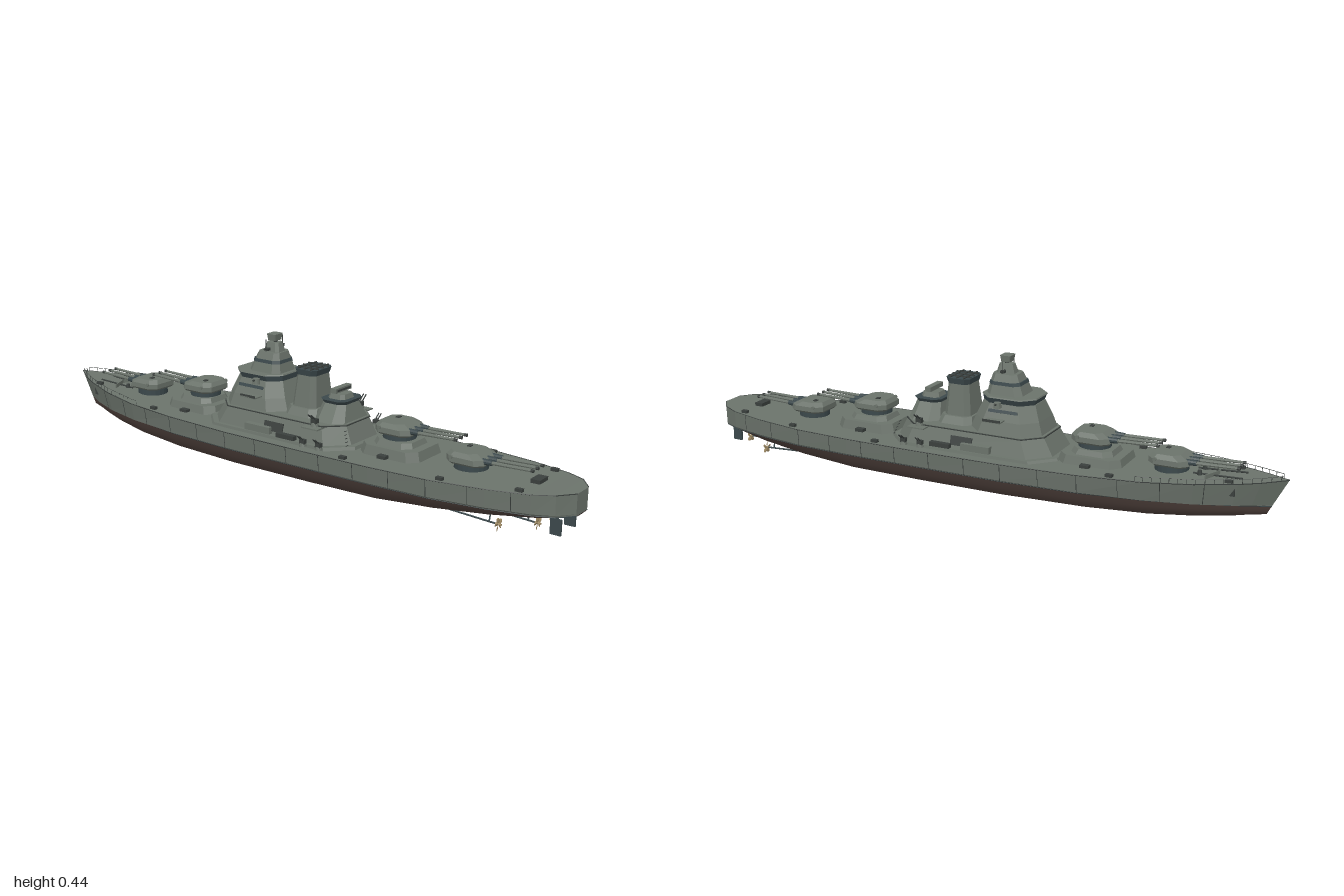
import * as THREE from 'three';

const mat = (name, color, flat = true) => {
  const m = new THREE.MeshStandardMaterial({ color, flatShading: flat, side: THREE.DoubleSide });
  m.name = name;
  return m;
};

export function createModel() {
  const ship = new THREE.Group();
  ship.name = 'battleship';
  const grey = mat('hull grey', 0x6b736b);
  const slate = mat('dark slate', 0x3b484b);
  const dark = mat('gunmetal', 0x3a3f3d);
  const red = mat('bottom paint brown', 0x4e403b, false);
  const bronze = mat('propeller bronze', 0xa08c66);

  const add = (geo, m, name, parent = ship, x = 0, y = 0, z = 0) => {
    const o = new THREE.Mesh(geo, m);
    o.name = name;
    o.position.set(x, y, z);
    parent.add(o);
    return o;
  };
  const box = (name, m, w, h, d, x, y, z, parent) => add(new THREE.BoxGeometry(w, h, d), m, name, parent, x, y, z);
  const rod = (name, m, a, b, r, parent = ship, r2 = r, sides = 6) => {
    const p = new THREE.Vector3(...a), q = new THREE.Vector3(...b);
    const o = add(new THREE.CylinderGeometry(r2, r, p.distanceTo(q), sides), m, name, parent);
    o.position.copy(p).lerp(q, 0.5);
    o.quaternion.setFromUnitVectors(new THREE.Vector3(0, 1, 0), q.sub(p).normalize());
    return o;
  };
  // Skin over stacked closed rings of points
  const loft = (rings, capped) => {
    const n = rings[0].length, idx = [];
    for (let i = 0; i < rings.length - 1; i++) for (let j = 0; j < n; j++) {
      const a = i * n + j, b = i * n + (j + 1) % n;
      idx.push(a, b, b + n, a, b + n, a + n);
    }
    const t = (rings.length - 1) * n;
    if (capped) for (let j = 1; j < n - 1; j++) idx.push(t, t + j, t + j + 1, 0, j + 1, j);
    const g = new THREE.BufferGeometry();
    g.setAttribute('position', new THREE.Float32BufferAttribute(rings.flat(2), 3));
    g.setIndex(idx);
    g.computeVertexNormals();
    return g;
  };
  // Eight-sided block; each level is [y, halfWidth, zMax, zMin, corner]
  const block = (name, m, levels, parent) => add(loft(levels.map(([y, h, f, b, c]) => [
    [c - h, y, f], [h - c, y, f], [h, y, f - c], [h, y, b + c],
    [h - c, y, b], [c - h, y, b], [-h, y, b + c], [-h, y, f - c]]), true), m, name, parent);

  // Hull stations: z, deck half width, waterline half width, keel y, deck y
  const st = [
    [1, .035, .033, .08, .149], [.96, .085, .08, .075, .149], [.9, .116, .108, .066, .147], [.77, .15, .14, .046, .145],
    [.6, .177, .165, .025, .143], [.4, .186, .173, .004, .142], [.15, .188, .174, 0, .142], [-.15, .187, .173, 0, .143],
    [-.4, .177, .158, .004, .146], [-.6, .155, .125, .012, .15], [-.75, .12, .085, .024, .156],
    [-.87, .075, .045, .036, .162], [-.93, .045, .024, .046, .166], [-1, .001, .001, .056, .172]];
  const WL = .083;
  const pt = (s, w, y) => [w, y, s[0] + (s[4] - y) * .52 * Math.max(0, (-s[0] - .6) / .4) ** 2];
  const ring = f => {
    const right = st.map(s => pt(s, ...f(s)));
    return [...right, ...right.map(([x, y, z]) => [-x, y, z]).reverse()];
  };
  const belt = s => [s[2] + (s[1] - s[2]) * .6, WL + .006];
  const top = ring(s => [s[1], s[4]]);
  const under = [[0, 0], [.3, .06], [.58, .15], [.83, .36], [.94, .7], [1, 1]].map(([u, v]) =>
    ring(s => [s[2] * u, s[3] + (WL - s[3]) * v]));
  add(loft(under), red, 'underwaterHull');
  add(loft([ring(s => [s[2], WL]), ring(belt), top]), grey, 'hullSides');
  const deckGeo = new THREE.BufferGeometry(), di = [], N = st.length;
  for (let j = 0; j < N - 1; j++) di.push(j, j + 1, 2 * N - 2 - j, j, 2 * N - 2 - j, 2 * N - 1 - j);
  deckGeo.setAttribute('position', new THREE.Float32BufferAttribute(top.flat(), 3));
  deckGeo.setIndex(di);
  deckGeo.computeVertexNormals();
  add(deckGeo, grey, 'mainDeck');

  // Interpolated station for fittings along the side
  const at = z => {
    let i = 0;
    while (i < N - 2 && st[i + 1][0] > z) i++;
    const t = (st[i][0] - z) / (st[i][0] - st[i + 1][0]);
    return st[i].map((v, k) => v + (st[i + 1][k] - v) * t);
  };
  for (const s of [1, -1]) {
    const mir = ([x, y, z]) => [s * x, y, z];
    // Plate seams and waterline edge
    for (let z = -.78; z < .97; z += .125) {
      const a = at(z);
      rod('plateSeam', dark, mir(pt(a, ...belt(a))), mir(pt(a, a[1], a[4])), .0012, ship, .0012, 4);
    }
    for (let j = 0; j < N - 1; j++) {
      rod('waterlineStrip', slate, mir(pt(st[j], st[j][2], WL)), mir(pt(st[j + 1], st[j + 1][2], WL)), .0015, ship, .0015, 4);
      rod('deckEdge', dark, mir(top[j]), mir(top[j + 1]), .0015, ship, .0015, 4);
    }
    // Bow railing
    const rail = z => { const a = at(z); return [[s * a[1] * .96, a[4], z], [s * a[1] * .96, a[4] + .014, z]]; };
    for (let z = -.98; z < -.56; z += .025) {
      rod('railPost', dark, ...rail(z), .0009, ship, .0009, 4);
      if (z < -.58) rod('railBar', dark, rail(z)[1], rail(z + .025)[1], .0008, ship, .0008, 4);
    }
    // Bollards, anchors and deck hatches
    for (const z of [-.84, -.5, .3, .63, .86]) {
      const a = at(z);
      box('bollard', dark, .014, .01, .022, s * (a[1] - .018), a[4] + .004, z);
    }
    const a = at(-.86);
    box('anchor', dark, .008, .024, .022, s * (a[1] - .008), .134, -.85);
    rod('anchorChain', dark, [s * .025, .158, -.72], [s * .03, .165, -.87], .003);
    // Rudders, shafts and propellers
    box('rudder', slate, .007, .048, .034, s * .045, .042, .946);
    rod('rudderPost', slate, [s * .045, .06, .95], [s * .045, .08, .95], .004);
    for (const [x, y, z] of [[.045, .04, .89], [.09, .026, .79]]) {
      rod('propellerShaft', slate, [s * x, y, z], [s * x, y + .012, z - .24], .003);
      rod('shaftStrut', slate, [s * x, y, z - .03], [s * x * .9, y + .035, z - .03], .0025);
      const prop = new THREE.Group();
      prop.name = 'propeller';
      prop.position.set(s * x, y, z);
      ship.add(prop);
      rod('propellerHub', bronze, [0, 0, -.008], [0, 0, .01], .005, prop, .003, 8);
      for (let k = 0; k < 5; k++) {
        const arm = new THREE.Group();
        arm.rotation.z = k * Math.PI * .4 + .2;
        prop.add(arm);
        const b = add(new THREE.SphereGeometry(1, 8, 6), bronze, 'propellerBlade', arm, 0, .0125, 0);
        b.scale.set(.006, .009, .0015);
        b.rotation.y = s * .5;
      }
    }
  }

  // Superstructure: long deckhouse with a low coaming
  block('deckhouseCoaming', grey, [[.138, .15, .285, -.31, .07], [.152, .147, .28, -.3, .07]]);
  block('deckhouse', grey, [[.14, .137, .268, -.29, .065], [.205, .117, .238, -.25, .055], [.211, .117, .238, -.25, .055]]);
  block('deckhouseRoofEdge', dark, [[.206, .119, .24, -.252, .055], [.209, .119, .24, -.252, .055]]);
  // Forward command tower
  block('towerBase', grey, [[.2, .112, .01, -.245, .05], [.25, .098, -.01, -.228, .045], [.3, .078, -.03, -.208, .04]]);
  block('towerBridge', slate, [[.3, .074, -.03, -.205, .035], [.318, .082, -.028, -.212, .04]]);
  block('bridgeRoof', grey, [[.318, .083, -.026, -.214, .04], [.322, .081, -.028, -.212, .04]]);
  block('towerUpper', grey, [[.32, .058, -.04, -.165, .02], [.352, .05, -.047, -.152, .018], [.385, .037, -.055, -.137, .014]]);
  block('towerWindowBand', slate, [[.352, .051, -.045, -.154, .018], [.362, .049, -.048, -.151, .018]]);
  block('towerTop', grey, [[.384, .026, -.062, -.125, .01], [.414, .018, -.07, -.115, .008]]);
  rod('directorPost', dark, [0, .41, -.09], [0, .425, -.09], .007);
  block('director', grey, [[.42, .018, -.078, -.108, .003], [.441, .021, -.075, -.111, .003]]);
  rod('yardarm', dark, [-.052, .396, -.095], [.052, .396, -.095], .0025);
  // Funnel with cap and grating
  block('funnelBase', grey, [[.205, .085, .125, 0, .02], [.235, .068, .115, .008, .02]]);
  block('funnel', grey, [[.23, .06, .108, .015, .016], [.338, .047, .1, .026, .014]]);
  block('funnelCap', slate, [[.336, .048, .101, .024, .014], [.355, .052, .106, .02, .014]]);
  for (let i = -1; i <= 1; i++) {
    box('funnelGrate', dark, .004, .004, .08, i * .026, .357, .063);
    box('funnelGrate', dark, .096, .004, .004, 0, .357, .063 + i * .024);
  }
  // Aft control tower
  block('aftTower', grey, [[.205, .095, .232, .115, .03], [.266, .052, .215, .13, .02]]);
  block('aftPlatform', slate, [[.264, .053, .217, .128, .02], [.275, .06, .222, .124, .02]]);
  block('aftControl', grey, [[.274, .036, .205, .14, .012], [.29, .03, .2, .145, .01]]);
  box('aftRangefinder', grey, .084, .015, .02, 0, .302, .172);
  box('rangefinderSlit', dark, .07, .006, .002, 0, .302, .183);

  // Twin light gun on a round mount
  const lightGun = (x, y, z, s, scale = 1) => {
    const g = new THREE.Group();
    g.name = 'lightGun';
    g.position.set(x, y, z);
    g.scale.setScalar(scale);
    ship.add(g);
    rod('mount', grey, [0, 0, 0], [0, .012, 0], .013, g, .01, 10);
    box('shield', dark, .016, .015, .02, 0, .017, 0, g);
    for (const d of [-.005, .005]) rod('lightBarrel', dark, [0, .02, d], [s * .026, .042, d], .0022, g);
  };
  for (const s of [1, -1]) {
    lightGun(s * .122, .206, .16, s);
    lightGun(s * .155, .146, .14, s, .9);
    lightGun(s * .155, .146, .2, s, .9);
    box('gunPlatform', grey, .045, .004, .06, s * .128, .204, .16);
    box('sidePlatform', grey, .06, .004, .06, s * .102, .255, -.1);
    box('platformRail', dark, .002, .008, .06, s * .131, .259, -.1);
    rod('secondaryDirector', grey, [s * .086, .29, -.1], [s * .086, .308, -.1], .013, ship, .011, 10);
    rod('directorBar', dark, [s * .068, .303, -.1], [s * .104, .303, -.1], .003);
    rod('yardMast', dark, [s * .043, .388, -.095], [s * .043, .428, -.095], .0016);
    box('yardBox', dark, .014, .007, .014, s * .036, .394, -.095);
    box('sideDoorPanel', dark, .004, .03, .075, s * .131, .177, .005).rotation.z = s * .3;
    box('sideLocker', grey, .022, .022, .1, s * .137, .165, -.05);
    box('shipBoat', dark, .018, .014, .07, s * .15, .163, .07);
    box('towerWindows', slate, .002, .01, .1, s * .089, .28, -.12).rotation.z = s * .38;
    for (let i = 0; i < 5; i++) box('ladderRung', dark, .012, .0015, .002, s * (.099 - i * .003), .158 + i * .01, .267 - i * .004);
  }

  // Main gun turrets with three barrels each
  const turret = (z, y, dir) => {
    const g = new THREE.Group();
    g.name = 'mainTurret';
    g.position.set(0, y, z);
    if (dir < 0) g.rotation.y = Math.PI;
    ship.add(g);
    rod('barbette', slate, [0, -.03, 0], [0, .008, 0], .052, g, .052, 20);
    block('gunHouse', grey, [[.004, .055, .058, -.055, .02], [.011, .063, .064, -.062, .022],
      [.027, .062, .06, -.062, .022], [.04, .05, .035, -.052, .02]], g);
    box('roofHatch', dark, .016, .004, .012, .022, .041, -.02, g);
    rod('turretRangefinder', grey, [-.066, .026, -.035], [.066, .026, -.035], .006, g, .006, 8);
    for (const x of [-.03, 0, .03]) {
      rod('barrelSleeve', slate, [x, .021, .05], [x, .022, .085], .0105, g, .008, 10);
      rod('gunBarrel', grey, [x, .022, .08], [x, .026, .215], .006, g, .0042, 8);
      rod('muzzle', dark, [x, .0258, .208], [x, .0261, .217], .0052, g, .0052, 8);
    }
  };
  turret(.645, .158, 1);
  turret(.393, .2, 1);
  turret(-.395, .2, -1);
  turret(-.645, .168, -1);
  // Raised plinths under the inner turrets
  for (const [f, b] of [[.505, .29], [-.295, -.51]]) {
    block('turretPlinth', grey, [[.138, .092, f, b, .03], [.172, .084, f - .01, b + .01, .028]]);
    block('barbetteCollar', grey, [[.17, .068, (f + b) / 2 + .07, (f + b) / 2 - .07, .025], [.188, .06, (f + b) / 2 + .062, (f + b) / 2 - .062, .024]]);
    for (const s of [1, -1]) box('plinthLocker', dark, .02, .01, .03, s * .1, .15, (f + b) / 2);
  }

  // Deck fittings at both ends
  box('sternHatch', dark, .05, .012, .03, 0, .152, .865);
  for (const s of [1, -1]) {
    box('breakwater', grey, .065, .014, .004, s * .032, .163, -.78).rotation.y = -s * .4;
    rod('capstan', dark, [s * .028, .155, -.74], [s * .028, .17, -.74], .008, ship, .006, 8);
  }
  rod('jackstaff', dark, [0, .168, -.975], [0, .182, -.98], .0015);
  return ship;
}
